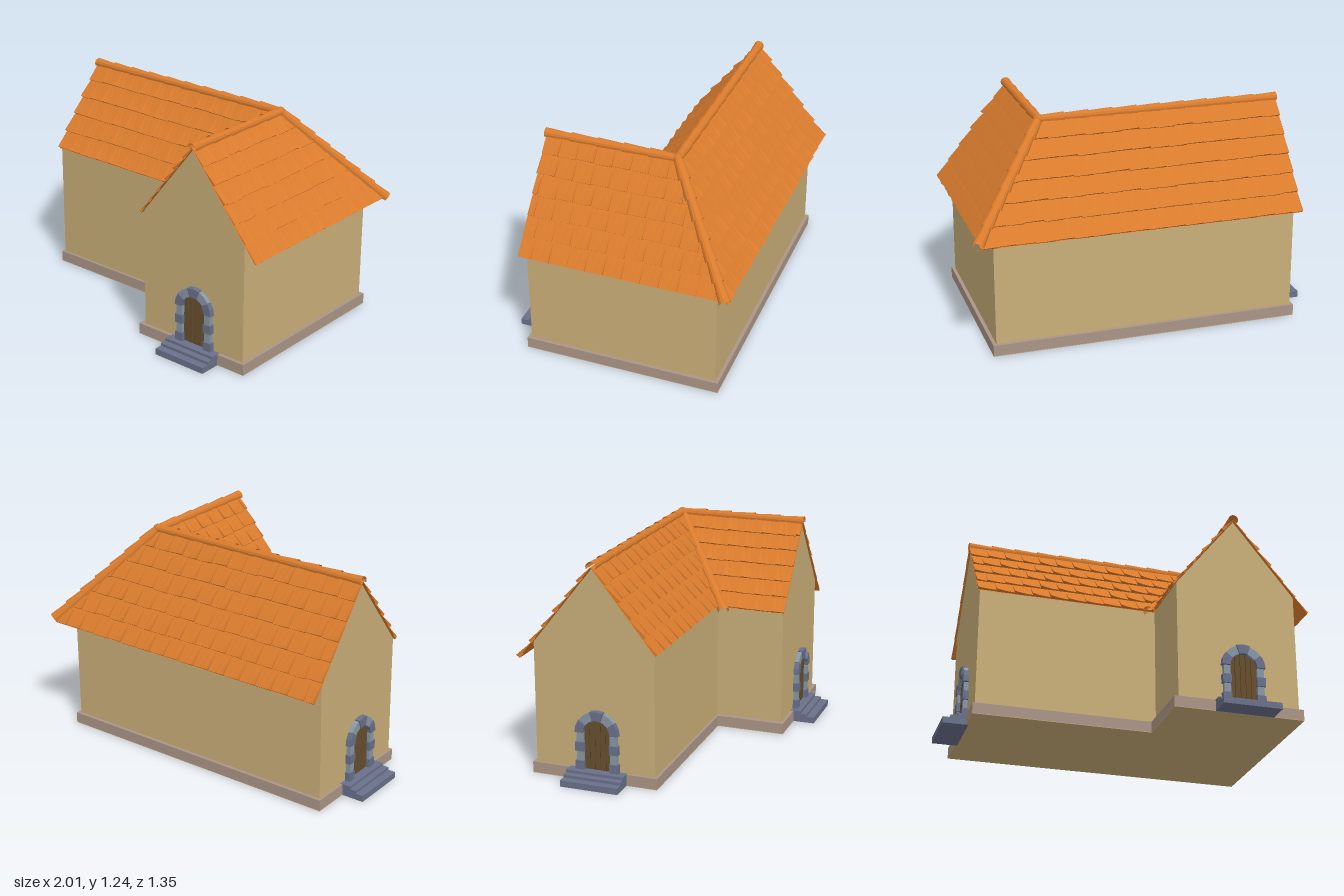
import * as THREE from 'three';

const mat = (name, color, side = THREE.FrontSide) => {
  const m = new THREE.MeshStandardMaterial({ color, side });
  m.name = name;
  return m;
};

// Main proportions: two ridges meet at (RX, RIDGE, RZ)
const RX = 0.53, RZ = -0.23, RIDGE = 1.21, SLOPE = 1.256;
const NL = Math.hypot(SLOPE, 1);

export function createModel() {
  const wallMat = mat('plaster', 0xc9ae78);
  const plinthMat = mat('plinth stone', 0xab9587);
  const tileMat = mat('terracotta', 0xd97b2d, THREE.DoubleSide);
  const darkStone = mat('dark stone', 0x697089);
  const lightStone = mat('light stone', 0x8797a6);
  const woodMat = mat('door wood', 0x674e2d);
  const gapMat = mat('door gaps', 0x3a2b18);

  const house = new THREE.Group();
  house.name = 'house';
  let seed = 7;
  const rand = () => (seed = (seed * 16807) % 2147483647) / 2147483647;

  const add = (parent, name, geo, material) => {
    const mesh = new THREE.Mesh(geo, material);
    mesh.name = name;
    parent.add(mesh);
    return mesh;
  };
  const box = (parent, name, material, x0, x1, y0, y1, z0, z1) => {
    const m = add(parent, name, new THREE.BoxGeometry(x1 - x0, y1 - y0, z1 - z0), material);
    m.position.set((x0 + x1) / 2, (y0 + y1) / 2, (z0 + z1) / 2);
    return m;
  };
  const extrude = (points, depth) => new THREE.ExtrudeGeometry(
    new THREE.Shape(points.map(([x, y]) => new THREE.Vector2(x, y))),
    { depth, bevelEnabled: false });

  // Gabled walls of both wings and the block under the hip corner
  const half = 0.35, apex = RIDGE - 0.01, eave = apex - half * SLOPE;
  const gable = [[-half, 0.01], [half, 0.01], [half, eave], [0, apex], [-half, eave]];
  const front = add(house, 'frontWingWalls', extrude(gable, 0.52 - RZ), wallMat);
  front.position.set(RX, 0, RZ);
  const side = add(house, 'sideWingWalls', extrude(gable, RX + 0.855), wallMat);
  side.rotation.y = -Math.PI / 2;
  side.position.set(RX, 0, RZ);
  box(house, 'cornerWalls', wallMat, 0.5, 0.88, 0.01, eave, -0.58, -0.2);

  // L-shaped plinth and floor
  const plan = [[-0.87, 0.6], [-0.87, -0.135], [0.15, -0.135], [0.15, -0.54], [0.9, -0.54], [0.9, 0.6]];
  for (const [name, y, h, m] of [['floor', 0, 0.003, wallMat], ['plinth', 0.003, 0.062, plinthMat]]) {
    const p = add(house, name, extrude(plan, h), m);
    p.rotation.x = -Math.PI / 2;
    p.position.y = y;
  }

  // One roof slope: overlapping tile rows between limits lo(d) and hi(d),
  // where d is the horizontal distance out from the ridge
  const slope = (name, alongX, out, reach, lo, hi) => {
    const pos = [];
    const point = (a, d, h) => {
      const o = out * (d + h * SLOPE / NL), y = RIDGE - d * SLOPE + h / NL;
      return alongX ? [a, y, RZ + o] : [RX + o, y, a];
    };
    const quad = (a, b, c, d) => {
      const order = alongX === (out > 0) ? [a, d, c, a, c, b] : [a, b, c, a, c, d];
      order.forEach(p => pos.push(...p));
    };
    quad(point(lo(0), 0, -0.004), point(hi(0), 0, -0.004),
      point(hi(reach), reach, -0.004), point(lo(reach), reach, -0.004));
    const rows = Math.round(reach / 0.067), pitch = reach / rows, width = 0.105;
    const cols = [[0, 0], [0, 1], [0.3, 1], [0.65, 1], [1, 1], [1, 0]];
    for (let r = 0; r < rows; r++) {
      const d0 = r * pitch, d1 = d0 + pitch;
      const min = Math.min(lo(d0), lo(d1)), max = Math.max(hi(d0), hi(d1));
      for (let a = min - (r % 2) * width * 0.4; a < max; a += width) {
        const lift = 0.006 + rand() * 0.008, sag = (rand() - 0.5) * 0.005;
        const at = (t, d) => Math.min(hi(d), Math.max(lo(d), a + t * width));
        const lines = cols.map(([t, up]) => {
          const end = Math.min(reach, d1 + sag);
          const h = up * (0.008 + lift * (1 - t) ** 2);
          return [point(at(t, d0), d0, 0.001 * up), point(at(t, end), end, h), point(at(t, end), end, -0.002)];
        });
        for (let i = 0; i < lines.length - 1; i++)
          for (let j = 0; j < 2; j++)
            quad(lines[i][j], lines[i + 1][j], lines[i + 1][j + 1], lines[i][j + 1]);
      }
    }
    const geo = new THREE.BufferGeometry();
    geo.setAttribute('position', new THREE.Float32BufferAttribute(pos, 3));
    geo.computeVertexNormals();
    add(house, name, geo, tileMat);
  };
  const left = () => -0.867, frontEnd = () => 0.53;
  slope('sideWingFrontRoof', true, 1, 0.362, left, d => RX - d);
  slope('sideWingBackRoof', true, -1, 0.435, left, d => RX + d);
  slope('frontWingOuterRoof', false, 1, 0.43, d => RZ - d, frontEnd);
  slope('frontWingInnerRoof', false, -1, 0.37, d => RZ + d, frontEnd);

  // Rows of flared half-round tiles along ridges, hip and valley
  const capRow = (name, from, to, count, r0, r1) => {
    const row = new THREE.Group();
    row.name = name;
    const a = new THREE.Vector3(...from), b = new THREE.Vector3(...to);
    const axis = b.clone().sub(a), len = axis.length() / count;
    axis.normalize();
    const across = new THREE.Vector3().crossVectors(axis, new THREE.Vector3(0, 1, 0)).normalize();
    const up = new THREE.Vector3().crossVectors(across, axis);
    const basis = new THREE.Matrix4().makeBasis(across, axis, up.clone());
    if (basis.determinant() < 0) basis.makeBasis(across.negate(), axis, up);
    for (let i = 0; i < count; i++) {
      const geo = new THREE.CylinderGeometry(r1, r0, len * 1.08, 8, 1, true, -Math.PI * 0.62, Math.PI * 1.24).toNonIndexed();
      geo.computeVertexNormals();
      const tile = add(row, 'capTile', geo, tileMat);
      tile.quaternion.setFromRotationMatrix(basis);
      tile.position.copy(a).addScaledVector(axis, (i + 0.5) * len);
    }
    house.add(row);
  };
  const top = [RX, 1.21, RZ];
  capRow('sideRidge', top, [-0.865, 1.21, RZ], 10, 0.022, 0.029);
  capRow('frontRidge', top, [RX, 1.21, 0.53], 5, 0.022, 0.029);
  capRow('hipTiles', top, [0.975, 0.685, -0.655], 7, 0.024, 0.034);
  capRow('valleyTiles', top, [0.13, 0.735, 0.17], 6, 0.024, 0.034);
  add(house, 'ridgeJoint', new THREE.IcosahedronGeometry(0.029, 1), tileMat).position.set(...top);

  // Arched doorway with stone surround and steps, facing local +z
  const doorway = (name, x, z, turn) => {
    const g = new THREE.Group();
    g.name = name;
    const base = 0.065, spring = 0.28, inner = 0.078, outer = 0.125;
    const archY = px => spring + Math.sqrt(Math.max(0, inner * inner - px * px));

    const panel = [[-inner, base], [inner, base]];
    for (let i = 0; i <= 10; i++) {
      const t = i / 10 * Math.PI;
      panel.push([inner * Math.cos(t), spring + inner * Math.sin(t)]);
    }
    add(g, 'doorPanel', extrude(panel, 0.004), gapMat);
    const w = inner * 2 / 5;
    for (let i = 0; i < 5; i++) {
      const x0 = -inner + i * w + 0.0015, x1 = x0 + w - 0.003, xm = (x0 + x1) / 2;
      add(g, 'doorPlank', extrude([[x0, base], [x1, base], [x1, archY(x1)], [xm, archY(xm)], [x0, archY(x0)]], 0.009), woodMat);
    }

    const jambs = 4, h = (spring - base) / jambs;
    for (const s of [-1, 1])
      for (let i = 0; i < jambs; i++) {
        const o = s * (outer - (i % 2 ? 0.008 : 0)), n = s * (inner - (i % 2 ? 0 : 0.004));
        box(g, 'jambStone', i % 2 ? lightStone : darkStone, Math.min(o, n), Math.max(o, n),
          base + i * h, base + (i + 1) * h - 0.002, 0, i % 2 ? 0.026 : 0.031);
      }
    for (let i = 0; i < 5; i++) {
      const t0 = i / 5 * Math.PI + 0.012, t1 = (i + 1) / 5 * Math.PI - 0.012;
      const ring = (r, t) => [r * Math.cos(t), spring + r * Math.sin(t)];
      const r = outer + (i === 2 ? 0.006 : 0.002), tm = (t0 + t1) / 2;
      add(g, 'archStone', extrude([ring(inner, t0), ring(r, t0), ring(r, tm), ring(r, t1), ring(inner, t1), ring(inner, tm)],
        i % 2 ? 0.026 : 0.031), i % 2 ? lightStone : darkStone);
    }
    [[0.036, 0.145], [0.052, 0.1], [0.067, 0.062]].forEach(([y, d], i) =>
      box(g, 'step', darkStone, -0.168, 0.168, i ? 0.03 : 0, y, 0, d));
    g.position.set(x, 0, z);
    g.rotation.y = turn;
    house.add(g);
  };
  doorway('frontDoorway', 0.553, 0.521, 0);
  doorway('sideDoorway', -0.856, -0.21, -Math.PI / 2);

  return house;
}
